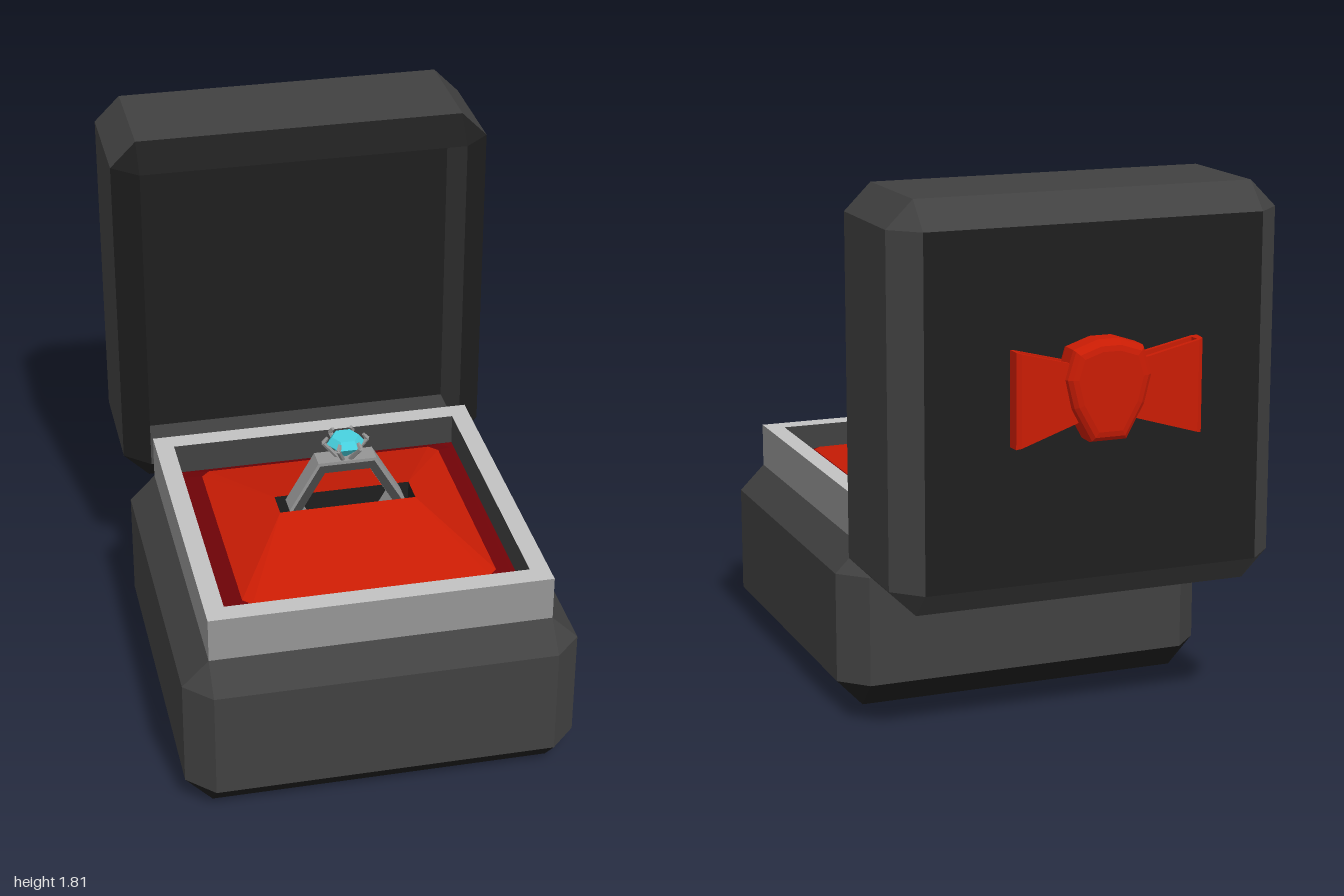
import * as THREE from 'three';

const mat = (name, color, extra = {}) => {
  const m = new THREE.MeshStandardMaterial({ color, ...extra });
  m.name = name;
  return m;
};

// Ring of eight points: a rectangle of half sizes w, d with corners cut by c, at height y
function ring([w, d, c, y]) {
  return [[w, -d + c], [w, d - c], [w - c, d], [-w + c, d], [-w, d - c], [-w, -d + c], [-w + c, -d], [w - c, -d]]
    .map(([x, u]) => [x, y, -u]);
}

// Flat-faced skin over a stack of rings; the ends are closed on request
function loft(sections, capStart, capEnd) {
  const rings = sections.map(ring), p = [];
  const tri = (...corners) => corners.forEach(v => p.push(...v));
  for (let k = 0; k < rings.length - 1; k++) {
    for (let i = 0; i < 8; i++) {
      const j = (i + 1) % 8;
      tri(rings[k][i], rings[k][j], rings[k + 1][j]);
      tri(rings[k][i], rings[k + 1][j], rings[k + 1][i]);
    }
  }
  const first = rings[0], last = rings[rings.length - 1];
  for (let i = 1; i < 7; i++) {
    if (capStart) tri(first[0], first[i + 1], first[i]);
    if (capEnd) tri(last[0], last[i], last[i + 1]);
  }
  const g = new THREE.BufferGeometry();
  g.setAttribute('position', new THREE.Float32BufferAttribute(p, 3));
  g.computeVertexNormals();
  return g;
}

const polygon = pts => pts.map(([x, y]) => new THREE.Vector2(x, y));
const hexagon = r => Array.from({ length: 6 }, (_, i) =>
  new THREE.Vector2(r * Math.cos(i * Math.PI / 3), r * Math.sin(i * Math.PI / 3)));

function hexBand(outer, inner, depth) {
  const s = new THREE.Shape(hexagon(outer));
  s.holes.push(new THREE.Path(hexagon(inner)));
  const g = new THREE.ExtrudeGeometry(s, { depth, bevelEnabled: false });
  return g.translate(0, 0, -depth / 2);
}

// Straight rod between two points
function rod(a, b, r0, r1) {
  const from = new THREE.Vector3(...a), to = new THREE.Vector3(...b);
  const dir = to.clone().sub(from);
  const g = new THREE.CylinderGeometry(r1, r0, dir.length(), 5);
  g.applyQuaternion(new THREE.Quaternion().setFromUnitVectors(new THREE.Vector3(0, 1, 0), dir.normalize()));
  const mid = from.add(to).multiplyScalar(0.5);
  return g.translate(mid.x, mid.y, mid.z);
}

export function createModel() {
  const model = new THREE.Group();
  model.name = 'ringBox';
  const box = mat('box charcoal', 0x414141);
  const dark = mat('panel black', 0x1e1e1e);
  const silver = mat('silver', 0x959595, { flatShading: true });
  const light = mat('light silver', 0xc2c2c2, { flatShading: true });
  const shade = mat('dark silver', 0x454545, { flatShading: true });
  const red = mat('red', 0xca1c04, { flatShading: true, side: THREE.DoubleSide });
  const darkRed = mat('dark red', 0x740308);
  const cyan = mat('gem cyan', 0x48d2e0, { flatShading: true });

  const add = (parent, name, geometry, material, x = 0, y = 0, z = 0) => {
    const m = new THREE.Mesh(geometry, material);
    m.name = name;
    m.position.set(x, y, z);
    parent.add(m);
  };
  const group = (name, x, y, z) => {
    const g = new THREE.Group();
    g.name = name;
    g.position.set(x, y, z);
    model.add(g);
    return g;
  };

  const W = 0.665, IN = 0.575, C = 0.09;

  // Base with its collar and cushion
  const base = group('base', 0, 0, 0.333);
  add(base, 'baseBottom', loft([[IN, IN, 0, 0], [W, W, C, 0.095]], true, false), dark);
  add(base, 'baseShell', loft([[W, W, C, 0.095], [W, W, C, 0.475], [IN, IN, 0, 0.565]]), box);
  add(base, 'collar', loft([[IN, IN, 0, 0.565], [IN, IN, 0, 0.72]]), silver);
  add(base, 'collarRim', loft([[IN, IN, 0, 0.72], [0.51, 0.505, 0, 0.72]]), light);
  add(base, 'collarInside', loft([[0.51, 0.505, 0, 0.72], [0.51, 0.505, 0, 0.6]]), box);
  add(base, 'cushionBorder', loft([[0.51, 0.505, 0, 0.61], [0.49, 0.485, 0.03, 0.62], [0.43, 0.42, 0.03, 0.655]]), darkRed);
  add(base, 'cushion', loft([[0.43, 0.42, 0.03, 0.655], [0.235, 0.05, 0, 0.755]]), red);
  add(base, 'ringSlot', loft([[0.235, 0.05, 0, 0.755], [0.235, 0.05, 0, 0.67]], false, true), dark);

  // Open lid, standing upright behind the base
  const lid = group('lid', 0, 1.147, -0.88);
  lid.rotation.x = Math.PI / 2;
  add(lid, 'lidBack', loft([[0, 0, 0, 0], [IN, IN, 0, 0]]), dark);
  add(lid, 'lidShell', loft([[IN, IN, 0, 0], [W, W, C, 0.09], [W, W, C, 0.49]]), box);
  add(lid, 'lidRim', loft([[W, W, C, 0.49], [IN, IN, 0, 0.57]]), dark);
  add(lid, 'lidInnerWalls', loft([[IN, IN, 0, 0.57], [IN, IN, 0, 0.3]]), box);
  add(lid, 'lidInnerBack', loft([[IN, IN, 0, 0.3], [0, 0, 0, 0.3]]), dark);

  // Hinge bar between base and lid
  const bar = new THREE.Shape(polygon([[0.24, 0.66], [0.24, 0.56], [0.275, 0.52], [0.31, 0.56], [0.31, 0.66], [0.275, 0.7]]));
  const hinge = new THREE.ExtrudeGeometry(bar, { depth: 0.72, bevelEnabled: false });
  add(model, 'hinge', hinge.translate(0, 0, -0.36).rotateY(Math.PI / 2), silver);

  // Six-sided ring with darker faces
  const jewel = group('ring', 0, 0.75, 0.335);
  add(jewel, 'band', hexBand(0.2, 0.155, 0.072), silver);
  add(jewel, 'bandFaces', hexBand(0.187, 0.156, 0.076), shade);

  // Gem, held by six prongs at its corners
  const gem = group('gem', 0, 0, 0.335);
  const cut = polygon([[0, 0.917], [0.065, 0.975], [0.046, 1.0], [0, 1.0]]);
  add(gem, 'stone', new THREE.LatheGeometry(cut, 6, Math.PI / 2), cyan);
  for (let i = 0; i < 6; i++) {
    const c = Math.cos(i * Math.PI / 3), s = Math.sin(i * Math.PI / 3);
    const bottom = [c * 0.018, 0.912, s * 0.018], top = [c * 0.076, 0.982, s * 0.076];
    add(gem, 'prong', rod(bottom, top, 0.008, 0.008), silver);
    add(gem, 'prongTip', rod(top, [c * 0.062, 1.0, s * 0.062], 0.009, 0.006), silver);
  }

  // Bow on the back of the lid: two flared ribbon loops and a knot
  const bow = group('bow', 0, 1.2, 0);
  const loop = new THREE.Shape(polygon([[0.09, -0.885], [0.305, -0.93], [0.318, -0.945], [0.315, -0.99], [0.3, -0.998], [0.09, -0.965]]));
  loop.holes.push(new THREE.Path(polygon([[0.105, -0.903], [0.298, -0.945], [0.3, -0.982], [0.105, -0.95]])));
  for (const s of [1, -1]) {
    const g = new THREE.ExtrudeGeometry(loop, { depth: 1, bevelEnabled: false });
    const p = g.attributes.position;
    for (let i = 0; i < p.count; i++) {
      const x = p.getX(i), z = p.getY(i), side = p.getZ(i) * 2 - 1;
      p.setXYZ(i, x * s, side * (0.09 + (x - 0.09) * 0.28), z);
    }
    if (s > 0) {
      // keep the faces turned outward on the unmirrored side
      const a = p.array;
      for (let i = 0; i < a.length; i += 9) {
        for (let k = 0; k < 3; k++) [a[i + 3 + k], a[i + 6 + k]] = [a[i + 6 + k], a[i + 3 + k]];
      }
    }
    g.computeVertexNormals();
    add(bow, s > 0 ? 'leftLoop' : 'rightLoop', g, red);
  }
  const knot = new THREE.Shape(polygon([[-0.04, -0.12], [0.04, -0.12], [0.09, -0.03], [0.11, 0.05], [0.09, 0.115], [0.03, 0.135],
    [-0.03, 0.135], [-0.09, 0.115], [-0.11, 0.05], [-0.09, -0.03]]));
  const knotShape = new THREE.ExtrudeGeometry(knot, { depth: 0.06, bevelThickness: 0.03, bevelSize: 0.035, bevelSegments: 3 });
  add(bow, 'knot', knotShape, red, 0, 0, -0.97);

  return model;
}
